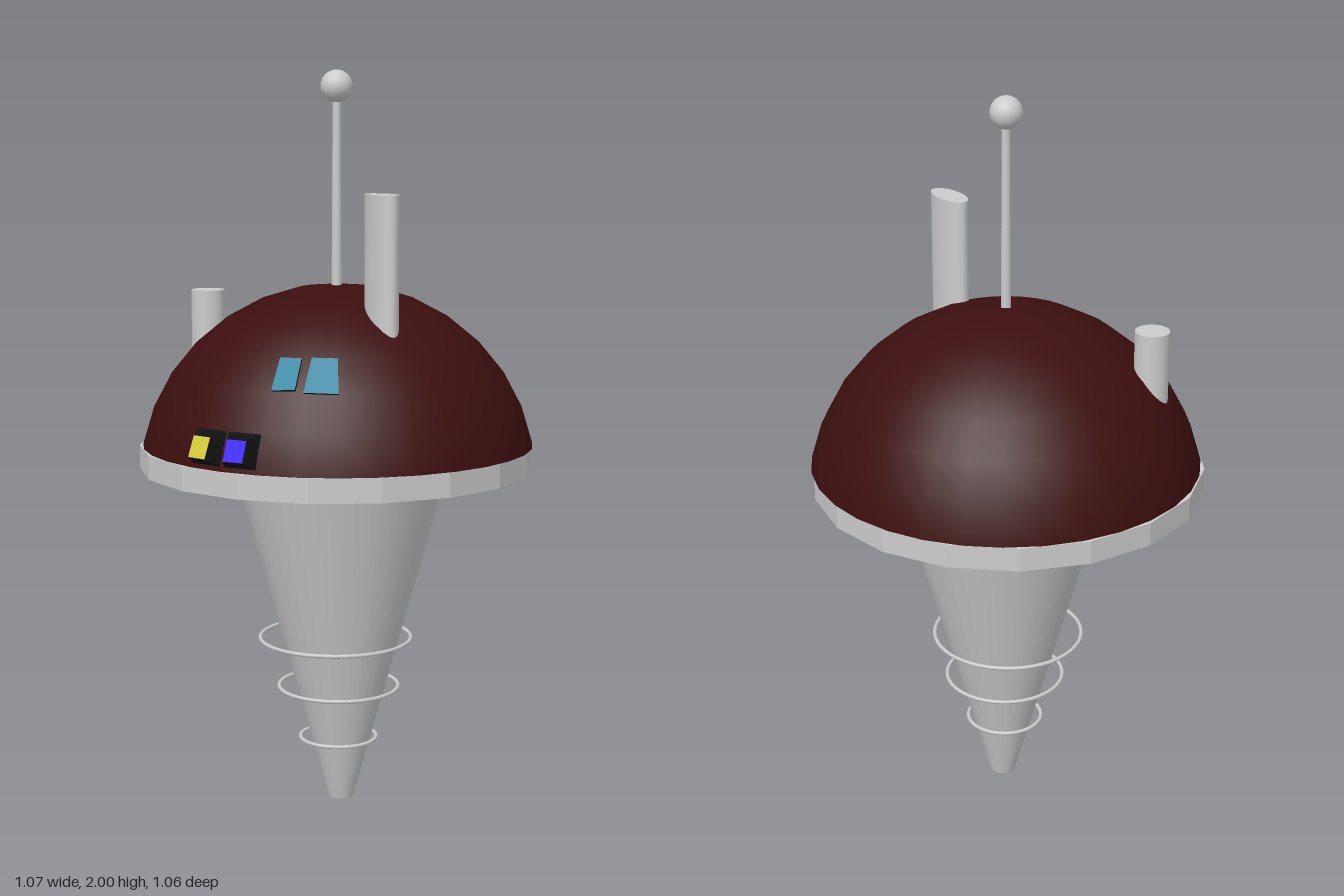
import * as THREE from 'three';

const mat = (color, flatShading = false) =>
  new THREE.MeshStandardMaterial({ color, flatShading, side: THREE.DoubleSide });
const grey = mat(0xcccccc);
const greyFlat = mat(0xcccccc, true);
const maroon = mat(0x3c0e0e);
const dark = mat(0x111111, true);

const DOME_R = 0.54, DOME_Y = 0.895;

function add(parent, name, geometry, material, x = 0, y = 0, z = 0) {
  const mesh = new THREE.Mesh(geometry, material);
  mesh.name = name;
  mesh.position.set(x, y, z);
  parent.add(mesh);
  return mesh;
}

// Solid between two four-cornered faces; corners run counter-clockwise seen from outside.
// Returns the side walls plus back, and the front face as a separate geometry.
function blockGeometries(back, front) {
  const quad = (a, b, c, d) => [a, b, c, a, c, d];
  const build = (pts) => {
    const g = new THREE.BufferGeometry().setFromPoints(pts);
    g.computeVertexNormals();
    return g;
  };
  const walls = quad(back[3], back[2], back[1], back[0]);
  for (let i = 0; i < 4; i++) {
    const j = (i + 1) % 4;
    walls.push(...quad(back[i], back[j], front[j], front[i]));
  }
  return [build(walls), build(quad(...front))];
}

function addWindow(parent, name, back, front, color) {
  const group = new THREE.Group();
  group.name = name;
  const [walls, face] = blockGeometries(back, front);
  add(group, 'frame', walls, dark);
  add(group, 'pane', face, mat(color, true));
  parent.add(group);
}

export function createModel() {
  const model = new THREE.Group();
  model.name = 'spinningTopStation';

  // Tapered lower body
  add(model, 'cone', new THREE.CylinderGeometry(0.294, 0.035, 0.937, 32), grey, 0.005, 0.4685, 0.01);

  // Thin rings around the cone: [radius, height, x, z]
  [[0.208, 0.457, -0.008, 0.002], [0.165, 0.32, -0.002, 0.01], [0.105, 0.175, -0.005, 0.015]]
    .forEach(([r, y, x, z]) => {
      add(model, 'ring', new THREE.TorusGeometry(r, 0.0055, 8, 48).rotateX(Math.PI / 2), grey, x, y, z);
    });

  // Rim disc with 18 sides
  add(model, 'rimDisc', new THREE.CylinderGeometry(0.532, 0.532, 0.064, 18).rotateY(Math.PI / 2),
    greyFlat, -0.005, 0.967, -0.005);

  // Dome: cap of a sphere
  add(model, 'dome', new THREE.SphereGeometry(DOME_R, 32, 7, 0, Math.PI * 2, 0, Math.PI * 7 / 16),
    maroon, 0, DOME_Y, 0);

  // Oval chimney in front, round vent behind
  add(model, 'chimney', new THREE.CylinderGeometry(1, 1, 0.42, 32).scale(0.036, 1, 0.075), grey, 0.017, 1.472, 0.251);
  add(model, 'vent', new THREE.CylinderGeometry(0.046, 0.046, 0.23, 32), grey, -0.273, 1.29, -0.28);

  // Antenna
  add(model, 'antennaRod', new THREE.CylinderGeometry(0.011, 0.014, 0.54, 16), grey, -0.009, 1.67, 0.013);
  add(model, 'antennaBall', new THREE.SphereGeometry(0.043, 24, 16), grey, -0.009, 1.957, 0.012);

  // Two slanted panes on the upper dome, standing a little proud of it
  const centre = new THREE.Vector3(0, DOME_Y, 0);
  const panes = [
    [[-0.312, 1.2, 0.318], [-0.261, 1.2, 0.352], [-0.227, 1.275, 0.309], [-0.27, 1.275, 0.272]],
    [[-0.244, 1.193, 0.366], [-0.17, 1.193, 0.411], [-0.1475, 1.275, 0.352], [-0.204, 1.275, 0.32]],
  ];
  for (const corners of panes) {
    const front = corners.map((c) => {
      const p = new THREE.Vector3(...c).sub(centre);
      return p.setLength(Math.max(p.length(), DOME_R + 0.006)).add(centre);
    });
    const back = front.map((p) => p.clone().lerp(centre, 0.06));
    addWindow(model, 'upperWindow', back, front, 0x10809c);
  }

  // Two tapered portholes low on the dome's right side
  const face = (azimuth, r, halfW, low, high, lean) => {
    const out = new THREE.Vector3(-Math.cos(azimuth), 0, Math.sin(azimuth));
    const side = new THREE.Vector3(Math.sin(azimuth), 0, Math.cos(azimuth));
    return [[-1, low], [1, low], [1, high], [-1, high]].map(([s, y]) => {
      const p = out.clone().multiplyScalar(y === low ? r + lean : r - lean).addScaledVector(side, s * halfW);
      p.y = y;
      return p;
    });
  };
  for (const [degrees, color] of [[28, 0xd6cc3a], [39.5, 0x3413ff]]) {
    const a = THREE.MathUtils.degToRad(degrees);
    addWindow(model, 'lowerWindow',
      face(a, 0.495, 0.053, 1.003, 1.103, 0.012), face(a, 0.55, 0.028, 1.034, 1.087, 0.011), color);
  }

  return model;
}
